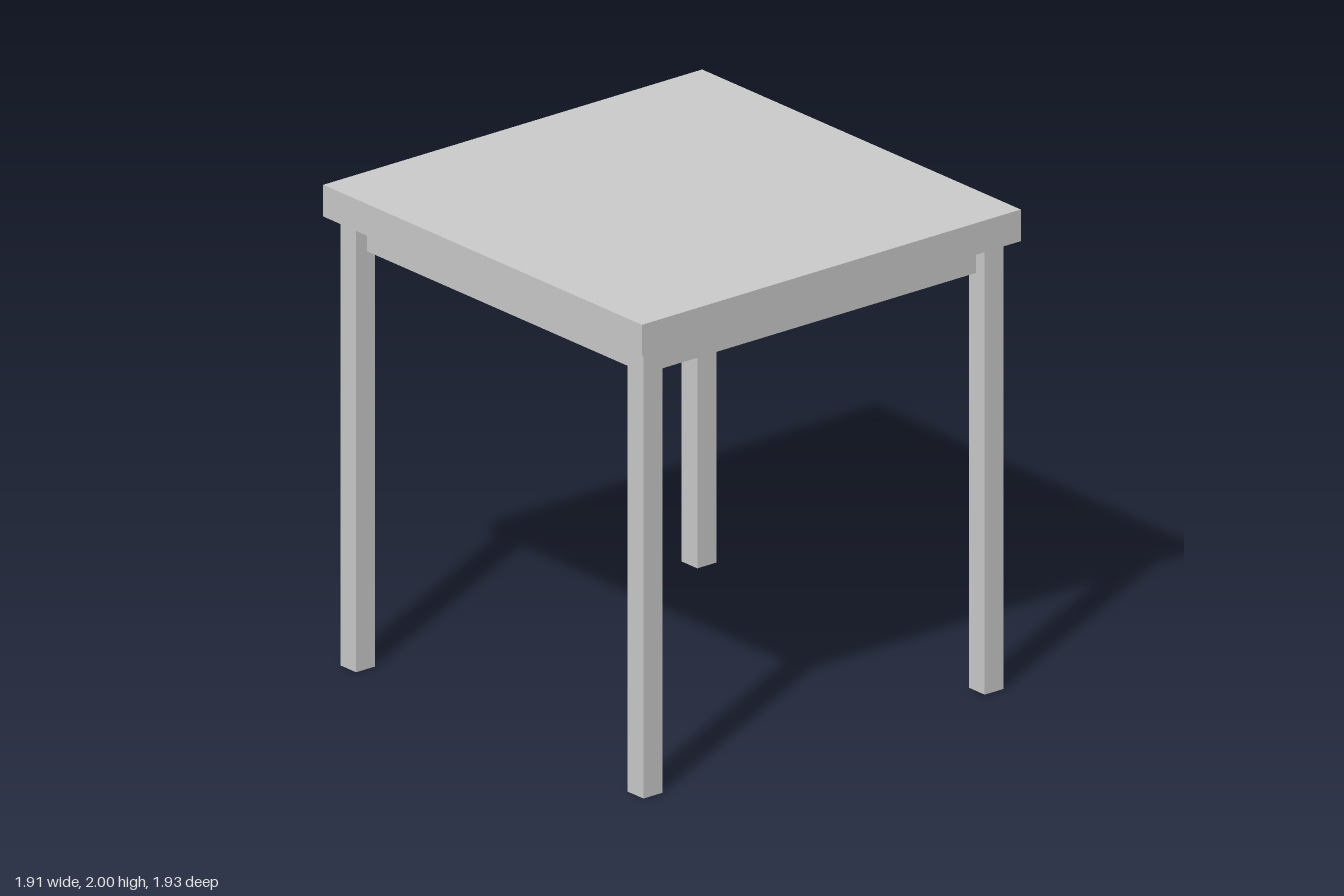
import * as THREE from 'three';

const material = new THREE.MeshStandardMaterial({ color: 0xcccccc, flatShading: true });

// Box spanning y0..y1, centred on (x, z)
function block(name, width, depth, y0, y1, x = 0, z = 0) {
  const mesh = new THREE.Mesh(new THREE.BoxGeometry(width, y1 - y0, depth), material);
  mesh.name = name;
  mesh.position.set(x, (y0 + y1) / 2, z);
  return mesh;
}

export function createModel() {
  const table = new THREE.Group();
  table.name = 'table';

  const topBottom = 1.868;
  const apronBottom = 1.741;

  // Overhanging slab and the solid apron block recessed behind the leg faces
  table.add(block('tableTop', 1.912, 1.932, topBottom, 2));
  table.add(block('apron', 1.71, 1.73, apronBottom, topBottom));

  // Four square legs
  for (const [side, sx] of [['Left', 1], ['Right', -1]]) {
    for (const [end, sz] of [['front', 1], ['back', -1]]) {
      table.add(block(`${end}${side}Leg`, 0.096, 0.096, 0, topBottom, sx * 0.861, sz * 0.871));
    }
  }
  return table;
}
